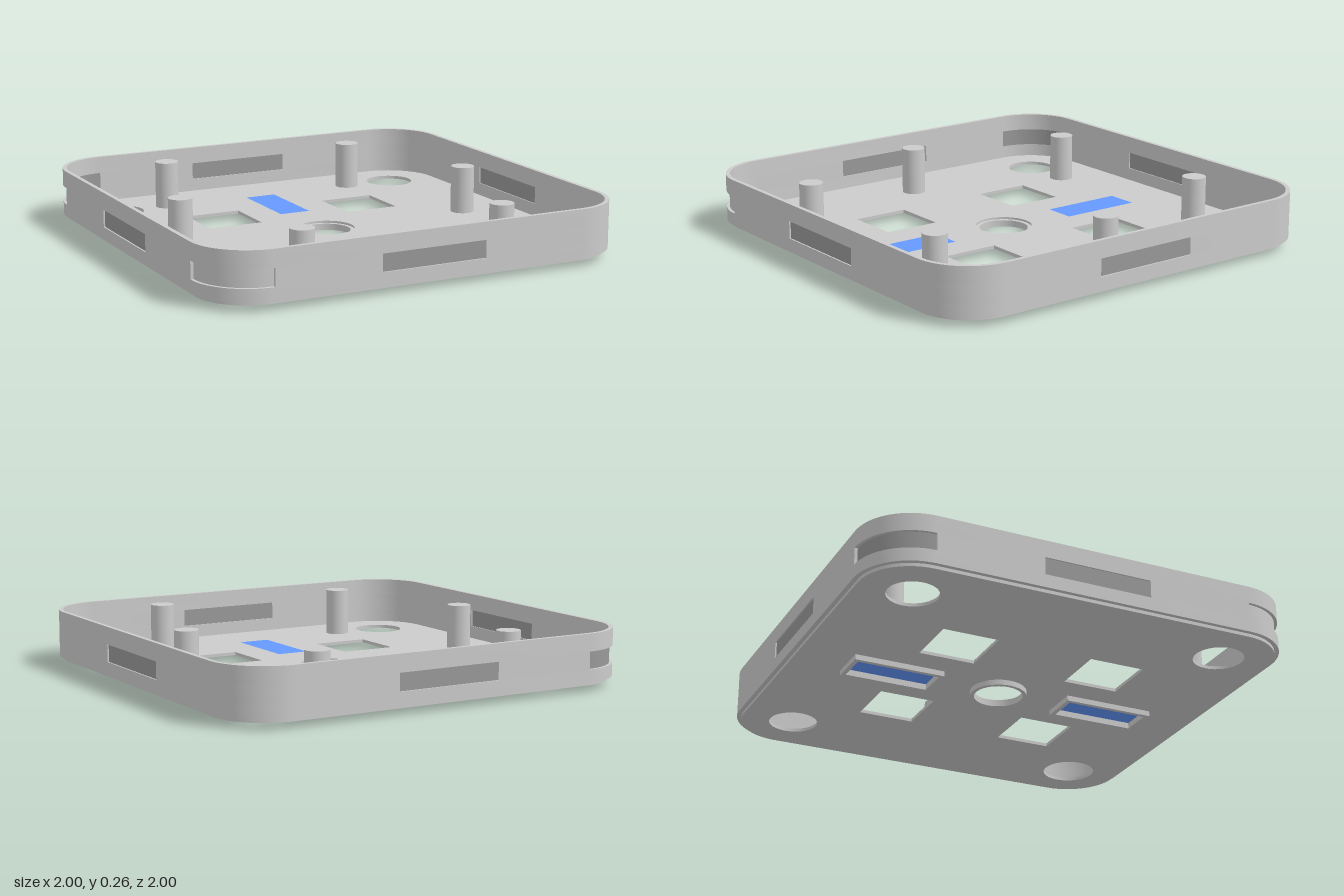
import * as THREE from 'three';
import { toCreasedNormals } from 'three/addons/utils/BufferGeometryUtils.js';

const R = 0.26, HALF = 1 - R;              // corner radius, half straight side
const ARC = (R * Math.PI) / 4;             // half the arc length of a corner
const SIDE = 2 * (HALF + ARC);             // perimeter per side
const WALL = 0.02, SLOT = 0.25;

const grey = new THREE.MeshStandardMaterial({ color: 0xcccccc });
const dark = new THREE.MeshStandardMaterial({ color: 0x999999 });
const blue = new THREE.MeshStandardMaterial({ color: 0x6699ff });

// Point (x, z) on the rounded square at perimeter distance s, moved inward by d.
// s = 0 is the middle of the +x side and runs towards +z.
function edgePoint(s, d) {
  const k = Math.round(s / SIDE), t = s - k * SIDE;
  const a = Math.max(0, Math.abs(t) - HALF) / R;
  const x = HALF + (R - d) * Math.cos(a);
  const z = Math.sign(t) * (Math.min(Math.abs(t), HALF) + (R - d) * Math.sin(a));
  return new THREE.Vector2(x, z).rotateAround(new THREE.Vector2(), (k * Math.PI) / 2);
}

// Points along the perimeter: exact ends, corner arcs finely divided.
function edgeLine(s0, s1, d) {
  const stops = [s0];
  for (let k = 0; k < 5; k++) {
    for (let i = 0; i <= 16; i++) {
      const s = (k + 0.5) * SIDE + ARC * (i / 8 - 1);
      if (s > s0 + 1e-4 && s < s1 - 1e-4) stops.push(s);
    }
  }
  stops.push(s1);
  return stops.map((s) => edgePoint(s, d));
}

const loop = (d) => edgeLine(0, 4 * SIDE, d).slice(0, -1);

function rectPath(x, z, w, l) {
  return new THREE.Path([[-1, -1], [1, -1], [1, 1], [-1, 1]].map(
    ([i, j]) => new THREE.Vector2(x + (i * w) / 2, z + (j * l) / 2)));
}

function circlePath(x, z, r) {
  return new THREE.Path().absarc(x, z, r, 0, Math.PI * 2);
}

// Upright slab from a plan outline (x, z) between two heights.
function slab(name, points, holes, y0, y1, material = grey) {
  const shape = new THREE.Shape(points);
  shape.holes = holes;
  let geo = new THREE.ExtrudeGeometry(shape, { depth: y1 - y0, bevelEnabled: false, curveSegments: 24 });
  geo.rotateX(Math.PI / 2).translate(0, y1, 0);
  geo = toCreasedNormals(geo, 0.6);
  const mesh = new THREE.Mesh(geo, material);
  mesh.name = name;
  return mesh;
}

// Piece of wall between two perimeter positions and two inward offsets.
function wallPiece(name, s0, s1, d0, d1, y0, y1, material) {
  const pts = [...edgeLine(s0, s1, d0), ...edgeLine(s0, s1, d1).reverse()];
  return slab(name, pts, [], y0, y1, material);
}

export function createModel() {
  const model = new THREE.Group();
  model.name = 'tray';

  // Floor plate with square windows, corner holes and panel openings
  const holes = [circlePath(0, 0, 0.13)];
  for (const sx of [-1, 1]) {
    for (const sz of [-1, 1]) {
      holes.push(rectPath(sx * 0.358, sz * 0.358, 0.264, 0.264));
      holes.push(circlePath(sx * 0.735, sz * 0.735, sx + sz === 2 ? 0.125 : 0.114));
    }
  }
  for (const sz of [-1, 1]) holes.push(rectPath(0, sz * 0.525, 0.15, 0.39));
  model.add(slab('floor', loop(WALL), holes, 0.025, 0.04));

  // Rim wall: full rings below and above the slotted band
  const inner = () => [new THREE.Path(loop(WALL))];
  model.add(slab('lowerWall', loop(0), inner(), 0.04, 0.1));
  model.add(slab('upperWall', loop(0), inner(), 0.18, 0.26));

  // Slotted band: solid runs between side slots and the two corner recesses
  const runs = [
    [SLOT, SIDE - SLOT],
    [SIDE + SLOT, 1.5 * SIDE - ARC],
    [1.5 * SIDE + ARC, 2 * SIDE - SLOT],
    [2 * SIDE + SLOT, 2.5 * SIDE - ARC],
    [2.5 * SIDE + ARC, 3 * SIDE - SLOT],
    [3 * SIDE + SLOT, 4 * SIDE - SLOT],
  ];
  for (const [s0, s1] of runs) model.add(wallPiece('middleWall', s0, s1, 0, WALL, 0.1, 0.18, grey));
  for (let k = 0; k < 4; k++) {
    model.add(wallPiece('sideSlotPanel', k * SIDE - SLOT, k * SIDE + SLOT, 0.007, 0.015, 0.1, 0.18, dark));
  }
  [[1.5, grey], [2.5, dark]].forEach(([k, material]) => {
    model.add(wallPiece('cornerRecess', k * SIDE - ARC, k * SIDE + ARC, 0.014, WALL, 0.1, 0.18, material));
  });

  // Standing pegs
  const pegGeo = new THREE.CylinderGeometry(0.055, 0.055, 0.22, 32);
  for (const [x, z] of [[0.73, 0], [0.49, 0.735], [0.49, -0.735]]) {
    for (const sx of [-1, 1]) {
      const peg = new THREE.Mesh(pegGeo, grey);
      peg.name = 'peg';
      peg.position.set(sx * x, 0.15, z);
      model.add(peg);
    }
  }

  // Collar under the centre hole
  model.add(slab('centreCollar', circlePath(0, 0, 0.13).getPoints(24), [circlePath(0, 0, 0.112)], 0, 0.03));

  // Blue panels with raised frames underneath
  for (const sz of [-1, 1]) {
    const z = sz * 0.525;
    model.add(slab('panelFrame', rectPath(0, z, 0.19, 0.43).getPoints(), [rectPath(0, z, 0.15, 0.39)], 0, 0.025));
    model.add(slab('bluePanel', rectPath(0, z, 0.15, 0.39).getPoints(), [], 0.028, 0.04, blue));
  }
  return model;
}
